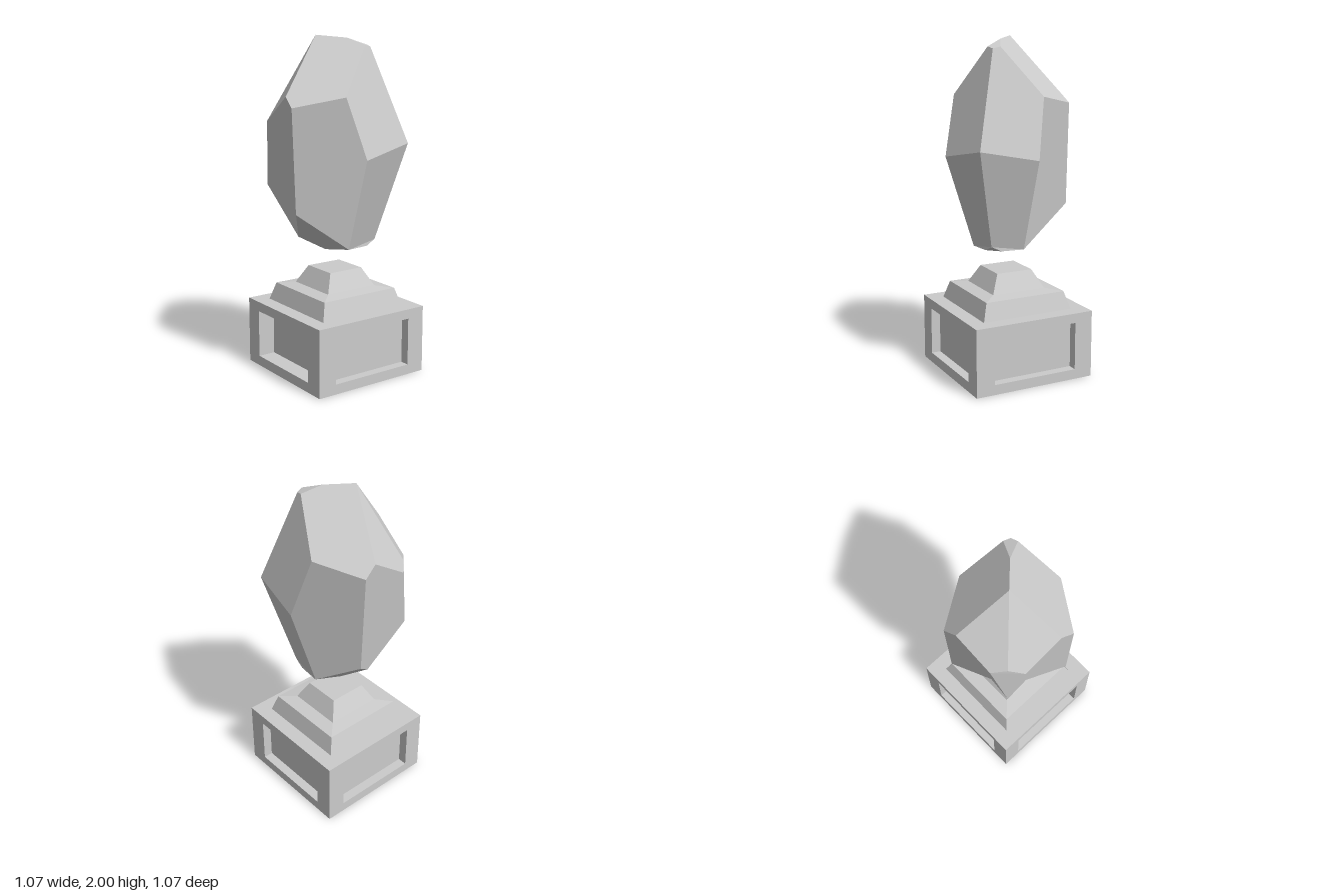
import * as THREE from 'three';

const grey = new THREE.MeshStandardMaterial({ color: 0xcccccc });

function part(name, geometry, parent) {
  const mesh = new THREE.Mesh(geometry, grey);
  mesh.name = name;
  parent.add(mesh);
  return mesh;
}

// Four-sided tier with its corners on the x and z axes
function tier(name, rTop, rBottom, y0, y1, parent) {
  const geometry = new THREE.CylinderGeometry(rTop, rBottom, y1 - y0, 4).toNonIndexed();
  geometry.computeVertexNormals();
  part(name, geometry, parent).position.y = (y0 + y1) / 2;
}

// Rectangle outline, counter-clockwise
function rect(Type, x, y0, y1) {
  return new Type([[-x, y0], [x, y0], [x, y1], [-x, y1]].map(p => new THREE.Vector2(...p)));
}

// Wall with a framed opening and a sunken panel behind it
function plinthSide(radius, height, depth) {
  const side = new THREE.Group();
  side.name = 'plinthSide';
  const halfWidth = 0.265, y0 = 0.06, y1 = 0.347;
  const apothem = radius / Math.SQRT2;
  const frame = rect(THREE.Shape, apothem, 0, height);
  frame.holes.push(rect(THREE.Path, halfWidth, y0, y1));
  part('frame', new THREE.ShapeGeometry(frame), side).position.z = apothem;

  // Box turned inside out, with its front removed
  const recess = new THREE.BoxGeometry(halfWidth * 2, y1 - y0, depth);
  recess.setIndex(Array.from(recess.index.array).filter((_, i) => i < 24 || i >= 30));
  recess.scale(-1, 1, 1);
  recess.computeVertexNormals();
  part('recess', recess, side).position.set(0, (y0 + y1) / 2, apothem - depth / 2);
  return side;
}

function makePlinth() {
  const plinth = new THREE.Group();
  plinth.name = 'plinth';
  const radius = 0.534, height = 0.405;
  // One panel is sunk deeper than the others
  [0.057, 0.057, 0.057, 0.106].forEach((depth, i) => {
    const side = plinthSide(radius, height, depth);
    side.rotation.y = Math.PI / 4 + i * Math.PI / 2;
    plinth.add(side);
  });
  for (const [name, y, turn] of [['plinthTop', height, -1], ['plinthBottom', 0, 1]]) {
    const cap = part(name, new THREE.CircleGeometry(radius, 4), plinth);
    cap.rotation.x = turn * Math.PI / 2;
    cap.position.y = y;
  }
  return plinth;
}

// Crystal corners: digits lie on the centre ridge, letters are on the front
// half, and the same letters in lower case are their mirrored back corners
const corners = {
  0: [-0.11, 2.0, 0], 1: [0.07, 1.985, 0], 2: [0.207, 1.935, 0], 3: [0.43, 1.385, 0],
  4: [0.24, 0.808, 0], 5: [-0.405, 1.12, 0], 6: [-0.376, 1.54, 0],
  T: [0.185, 1.945, 0.038], C: [-0.23, 1.667, 0.275], D: [-0.183, 1.61, 0.343],
  E: [0.11, 1.667, 0.27], G: [0.23, 1.32, 0.28], H: [-0.38, 1.51, 0.095],
  K: [-0.165, 1.01, 0.335], M: [0.11, 0.775, 0.155], L: [-0.198, 0.83, 0.105],
  B: [-0.04, 0.757, 0.09], Q: [0.2, 0.777, 0.05],
};
const frontFacets = ['ET10CD', 'GEDKM', 'LKDCH5', '06HC', '32TEG', 'GM43', 'MQ4', 'KLBM', 'BQM'];
const middleFacets = ['1T2t', '6hH', 'h5H', '5lL', 'lbBL', 'BbqQ', '4Qq'];

function cornerPoint(key) {
  const [x, y, z] = corners[key.toUpperCase()];
  return new THREE.Vector3(x, y, key === key.toUpperCase() ? z : -z);
}

const swapCase = key => (key === key.toUpperCase() ? key.toLowerCase() : key.toUpperCase());
const mirrorFacet = facet => [...facet].reverse().map(swapCase);

function makeCrystal() {
  const positions = [], normals = [];
  // Each facet is a fan about one corner, shaded with a single normal
  const addFacet = facet => {
    const points = [...facet].map(cornerPoint);
    const normal = new THREE.Vector3();
    points.forEach((p, i) => {
      normal.add(p.clone().cross(points[(i + 1) % points.length]));
    });
    normal.normalize();
    for (let i = 1; i < points.length - 1; i++) {
      for (const p of [points[0], points[i], points[i + 1]]) {
        positions.push(...p.toArray());
        normals.push(...normal.toArray());
      }
    }
  };
  for (const facet of frontFacets) {
    addFacet(facet);
    // Keep the same fan corner on the mirrored facet
    const back = mirrorFacet(facet);
    addFacet([back.at(-1), ...back.slice(0, -1)]);
  }
  middleFacets.forEach(addFacet);

  const geometry = new THREE.BufferGeometry();
  geometry.setAttribute('position', new THREE.Float32BufferAttribute(positions, 3));
  geometry.setAttribute('normal', new THREE.Float32BufferAttribute(normals, 3));
  return geometry;
}

export function createModel() {
  const model = new THREE.Group();
  model.name = 'crystalOnPedestal';
  model.add(makePlinth());

  // Stepped tiers above the plinth
  tier('lowerTier', 0.36, 0.405, 0.405, 0.51, model);
  tier('tierShoulder', 0.24, 0.36, 0.51, 0.521, model);
  tier('upperTier', 0.16, 0.24, 0.521, 0.628, model);

  // Faceted stone floating over the pedestal
  part('crystal', makeCrystal(), model).position.z = 0.009;
  return model;
}
